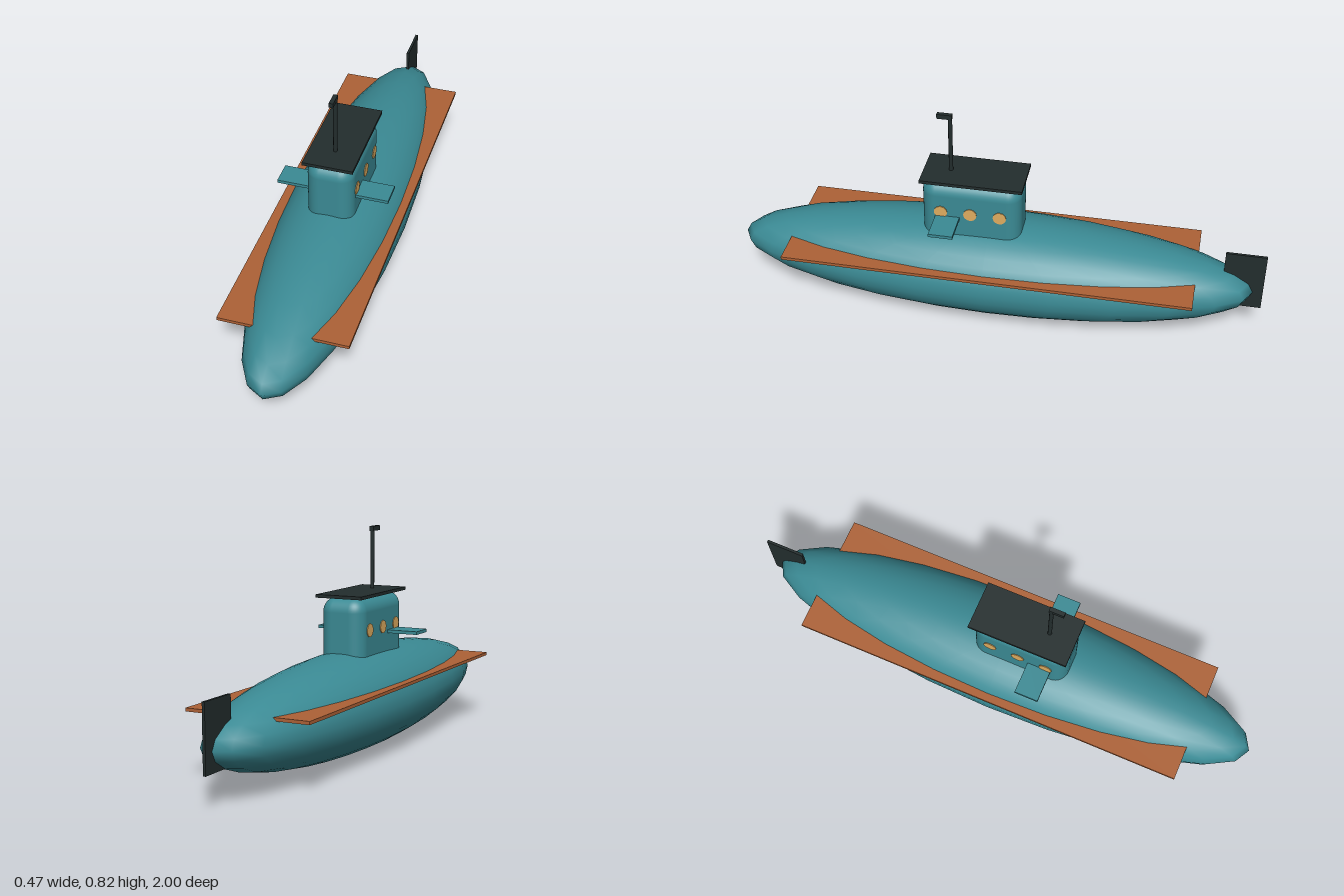
import * as THREE from 'three';
import { RoundedBoxGeometry } from 'three/addons/geometries/RoundedBoxGeometry.js';

const material = (name, color) => {
  const m = new THREE.MeshStandardMaterial({ color });
  m.name = name;
  return m;
};

export function createModel() {
  const teal = material('teal paint', 0x3b8b95);
  const copper = material('copper deck', 0xae6236);
  const dark = material('dark metal', 0x232d2d);
  const amber = material('amber glass', 0xe0ad60);

  const model = new THREE.Group();
  model.name = 'submarine';

  const add = (name, geometry, mat, x, y, z) => {
    const mesh = new THREE.Mesh(geometry, mat);
    mesh.name = name;
    mesh.position.set(x, y, z);
    model.add(mesh);
    return mesh;
  };
  // Box given by its lower and upper limits on each axis
  const addBox = (name, mat, [x0, x1], [y0, y1], [z0, z1]) =>
    add(name, new THREE.BoxGeometry(x1 - x0, y1 - y0, z1 - z0), mat,
      (x0 + x1) / 2, (y0 + y1) / 2, (z0 + z1) / 2);

  // Hull: stretched sphere
  const hull = new THREE.SphereGeometry(1, 24, 16);
  hull.scale(0.228, 0.184, 0.983);
  add('hull', hull, teal, 0, 0.185, 0.017);

  // Side deck passing through the hull
  addBox('deck', copper, [-0.235, 0.235], [0.252, 0.264], [-0.752, 0.778]);

  // Conning tower and its roof
  add('tower', new RoundedBoxGeometry(0.174, 0.33, 0.37, 5, 0.053), teal, 0, 0.405, 0.085);
  addBox('towerRoof', dark, [-0.093, 0.093], [0.57, 0.582], [-0.108, 0.272]);

  // Diving planes and portholes on both sides of the tower
  for (const side of [-1, 1]) {
    const sideName = side > 0 ? 'left' : 'right';
    add(`${sideName}DivingPlane`, new THREE.BoxGeometry(0.13, 0.012, 0.09), teal,
      side * 0.143, 0.427, 0.17);
    for (const z of [0.195, 0.085, -0.025]) {
      const porthole = add(`${sideName}Porthole`,
        new THREE.CylinderGeometry(0.025, 0.025, 0.008, 12), amber, side * 0.086, 0.45, z);
      porthole.rotation.z = Math.PI / 2;
    }
  }

  // Periscope
  add('periscopeMast', new THREE.CylinderGeometry(0.008, 0.008, 0.24, 8), dark, 0, 0.695, 0.172);
  addBox('periscopeHead', dark, [-0.008, 0.008], [0.8, 0.818], [0.164, 0.22]);

  // Rudder
  addBox('rudder', dark, [-0.005, 0.005], [0.115, 0.35], [-1, -0.85]);

  return model;
}
